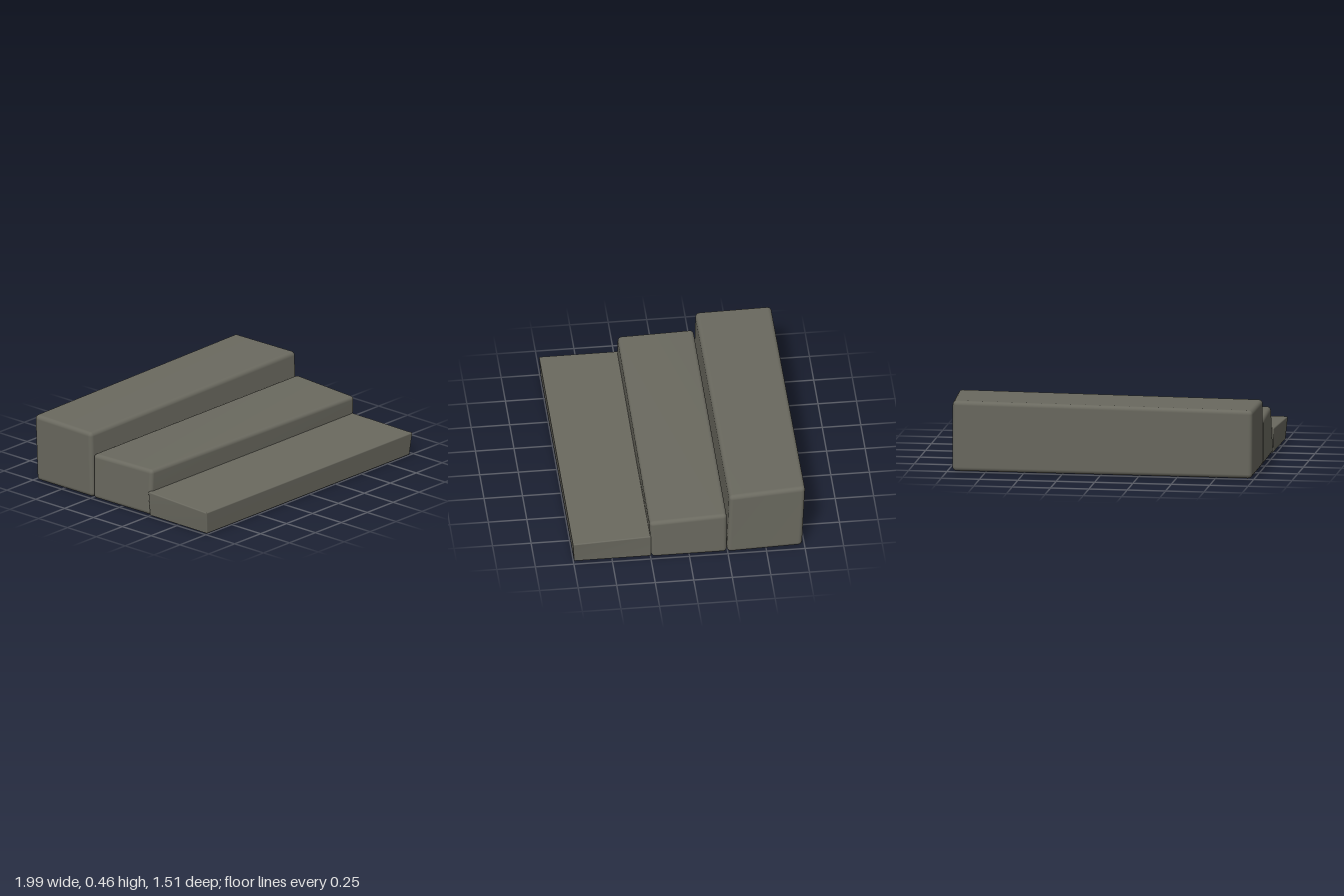
import * as THREE from 'three';
import { RoundedBoxGeometry } from 'three/addons/geometries/RoundedBoxGeometry.js';
import { mergeVertices } from 'three/addons/utils/BufferGeometryUtils.js';

const stone = new THREE.MeshStandardMaterial({ color: 0x6a695f });
stone.name = 'grey stone';

// Rounded block whose eight corners are pulled to the given points.
// Corner order: back then front; in each bottom then top; in each -x then +x.
function skewedBlock(name, size, radius, corners) {
  let geometry = new RoundedBoxGeometry(...size, 3, radius);
  geometry.deleteAttribute('uv');
  geometry.deleteAttribute('normal');
  geometry.clearGroups();
  geometry = mergeVertices(geometry, 1e-5);
  const pos = geometry.attributes.position;
  const points = corners.map((c) => new THREE.Vector3(...c));
  const v = new THREE.Vector3();
  for (let i = 0; i < pos.count; i++) {
    const t = [pos.getX(i), pos.getY(i), pos.getZ(i)].map((p, a) => p / size[a] + 0.5);
    v.set(0, 0, 0);
    points.forEach((corner, k) => {
      const weight = (k & 1 ? t[0] : 1 - t[0]) * (k & 2 ? t[1] : 1 - t[1]) * (k & 4 ? t[2] : 1 - t[2]);
      v.addScaledVector(corner, weight);
    });
    pos.setXYZ(i, v.x, v.y, v.z);
  }
  geometry.computeVertexNormals();
  const mesh = new THREE.Mesh(geometry, stone);
  mesh.name = name;
  return mesh;
}

export function createModel() {
  const group = new THREE.Group();
  group.name = 'stoneSteps';

  // Low front slab with crisp edges
  group.add(skewedBlock('lowerStep', [1.98, 0.155, 0.5], 0.008, [
    [-0.98, 0, 0.245], [0.97, 0, 0.245], [-0.985, 0.163, 0.235], [0.975, 0.163, 0.235],
    [-0.985, 0, 0.745], [0.97, 0, 0.745], [-1, 0.15, 0.755], [0.99, 0.15, 0.755],
  ]));

  // Middle block, its top dipping at the front left corner
  group.add(skewedBlock('middleStep', [1.96, 0.29, 0.5], 0.025, [
    [-0.985, 0, -0.245], [0.985, 0, -0.245], [-0.985, 0.303, -0.245], [0.985, 0.303, -0.245],
    [-0.98, 0, 0.25], [0.985, 0, 0.245], [-0.965, 0.305, 0.25], [0.985, 0.278, 0.257],
  ]));

  // Tall back block, leaning slightly backwards
  group.add(skewedBlock('upperStep', [1.98, 0.45, 0.5], 0.028, [
    [-0.985, 0, -0.735], [0.97, 0, -0.735], [-0.99, 0.448, -0.75], [0.963, 0.465, -0.757],
    [-0.985, 0, -0.245], [0.99, 0, -0.245], [-0.99, 0.44, -0.257], [0.995, 0.455, -0.26],
  ]));

  return group;
}
